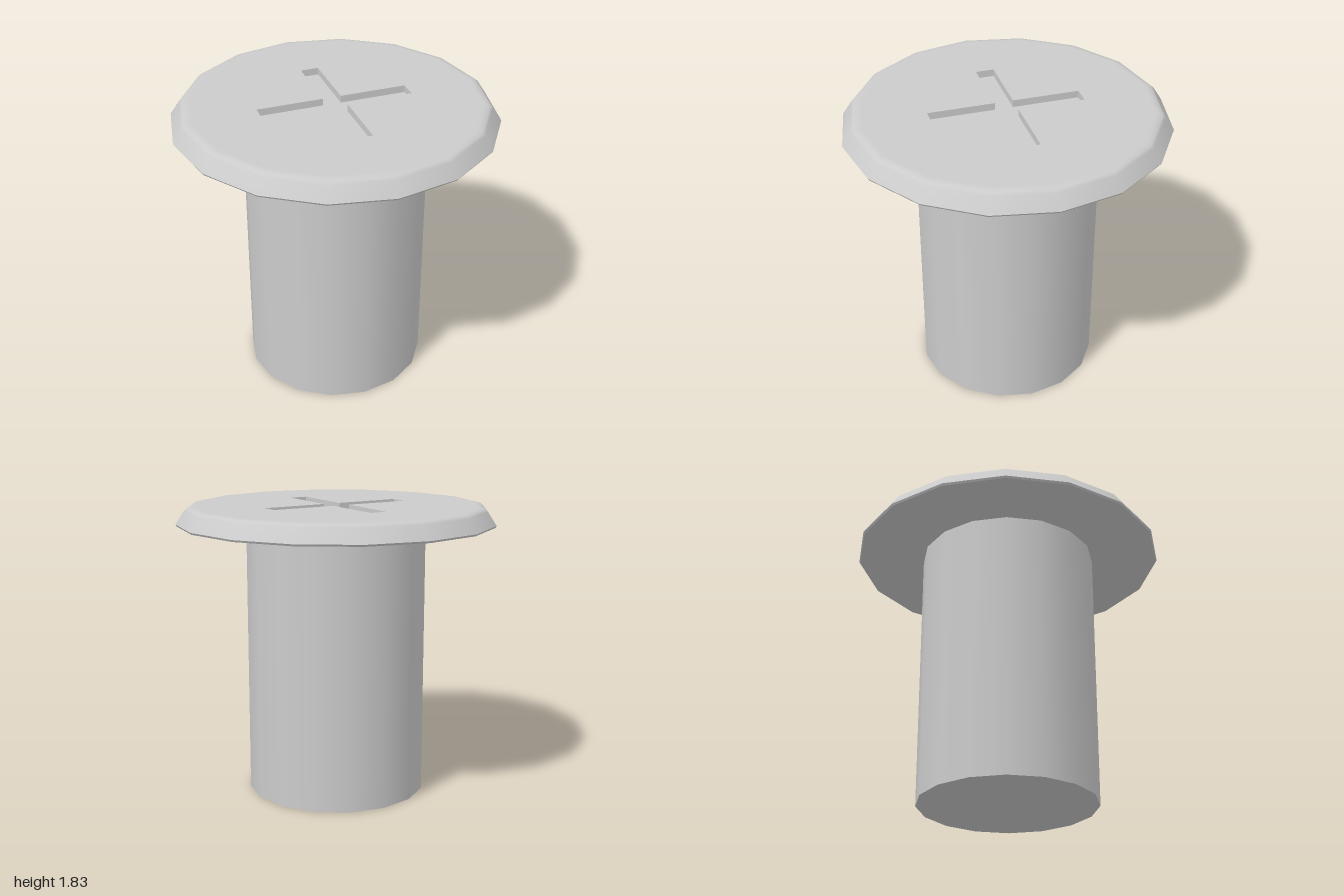
import * as THREE from 'three';

const SIDES = 16;
const SHANK_R = 0.565, HEAD_BOTTOM = 1.71, HEAD_TOP = 1.827;
const TOP_R = 0.9, SLOT_DEPTH = 0.045;
const ARM = 0.474, HALF = 0.057; // cross slot half length and half width

export function createModel() {
  const group = new THREE.Group();
  const material = new THREE.MeshStandardMaterial({ color: 0xcccccc });
  const add = (name, geometry, y = 0) => {
    const mesh = new THREE.Mesh(geometry, material);
    mesh.name = name;
    mesh.position.y = y;
    group.add(mesh);
  };
  const lathe = (pts) =>
    new THREE.LatheGeometry(pts.map(([r, y]) => new THREE.Vector2(r, y)), SIDES);

  // Shank with a flat foot
  add('shank', new THREE.CylinderGeometry(SHANK_R, SHANK_R, HEAD_BOTTOM, SIDES, 1, true), HEAD_BOTTOM / 2);
  add('shankEnd', new THREE.CircleGeometry(SHANK_R, SIDES).rotateX(Math.PI / 2));

  // Head underside and rounded, sloping rim
  add('headUnderside', new THREE.RingGeometry(SHANK_R, 0.992, SIDES).rotateX(Math.PI / 2), HEAD_BOTTOM);
  add('headLip', lathe([[0.992, HEAD_BOTTOM], [1, 1.722]]));
  add('headRim', lathe([[1, 1.722], [0.945, 1.806], [0.928, 1.821], [TOP_R, HEAD_TOP], [TOP_R - 0.02, HEAD_TOP]]));

  // Cross outline, counter-clockwise, one arm at a time
  const cross = [];
  for (let i = 0; i < 4; i++) {
    for (const [x, y] of [[ARM, -HALF], [ARM, HALF], [HALF, HALF]]) {
      cross.push(new THREE.Vector2(x, y).rotateAround(new THREE.Vector2(), i * Math.PI / 2));
    }
  }

  // Flat top with the cross cut out
  const disc = [];
  for (let i = 0; i < SIDES; i++) {
    const a = (i / SIDES) * Math.PI * 2;
    disc.push(new THREE.Vector2(Math.cos(a), Math.sin(a)).multiplyScalar(TOP_R - 0.02));
  }
  const top = new THREE.Shape(disc);
  top.holes.push(new THREE.Path(cross));
  add('headTop', new THREE.ShapeGeometry(top).rotateX(-Math.PI / 2), HEAD_TOP);

  // Slot floor and inward-facing walls
  add('slotFloor', new THREE.ShapeGeometry(new THREE.Shape(cross)).rotateX(-Math.PI / 2), HEAD_TOP - SLOT_DEPTH);
  const walls = [];
  cross.forEach((a, i) => {
    const b = cross[(i + 1) % cross.length];
    const a0 = [a.x, -SLOT_DEPTH, -a.y], a1 = [a.x, 0, -a.y];
    const b0 = [b.x, -SLOT_DEPTH, -b.y], b1 = [b.x, 0, -b.y];
    walls.push(...b0, ...a0, ...a1, ...b0, ...a1, ...b1);
  });
  const wallGeometry = new THREE.BufferGeometry();
  wallGeometry.setAttribute('position', new THREE.Float32BufferAttribute(walls, 3));
  wallGeometry.computeVertexNormals();
  add('slotWalls', wallGeometry, HEAD_TOP);

  return group;
}
